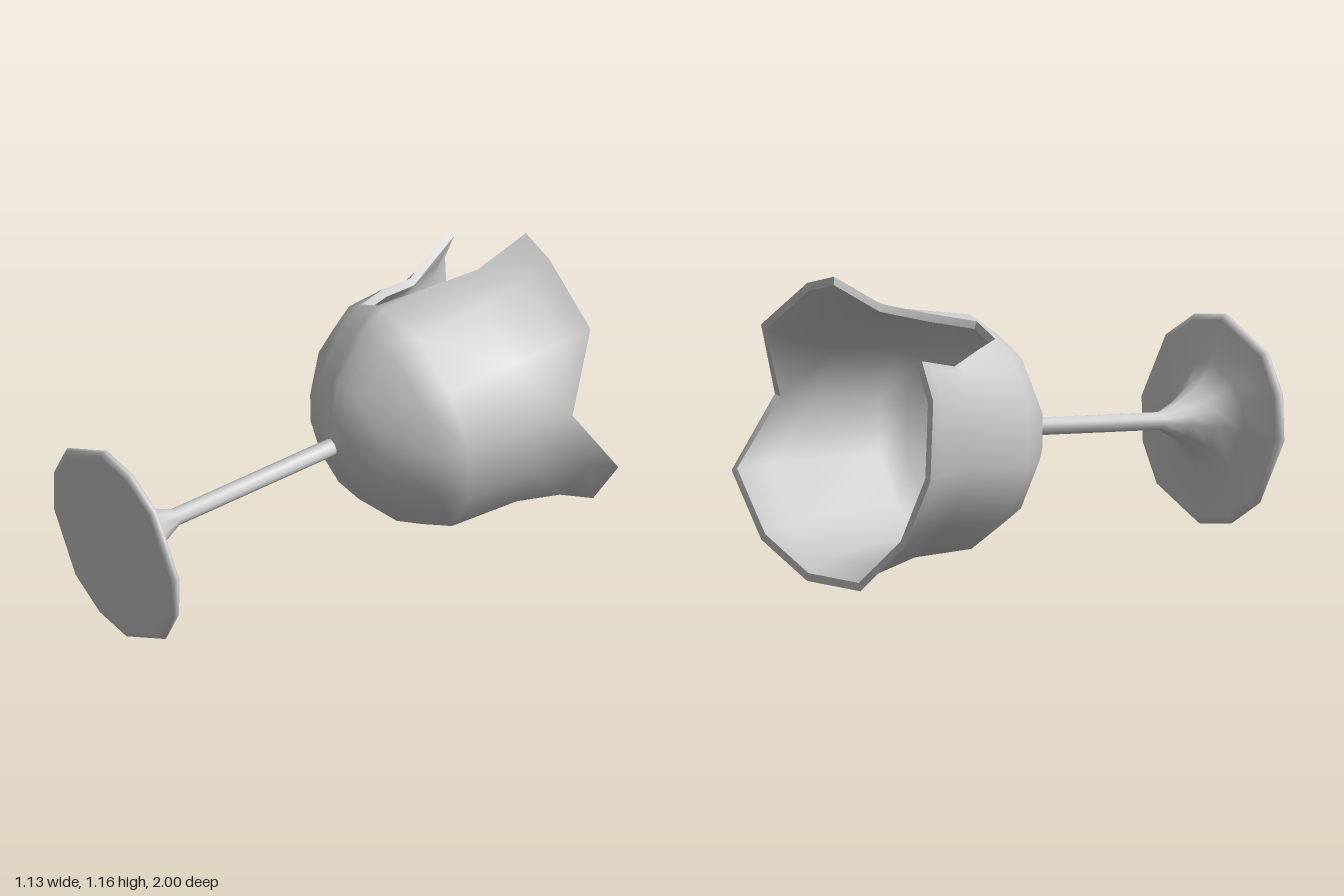
import * as THREE from 'three';
import { mergeVertices, toCreasedNormals } from 'three/addons/utils/BufferGeometryUtils.js';

const RIM = 1.918;

// Radius of a [height, radius] profile at a given height
function radiusAt(profile, s) {
  for (let i = 1; i < profile.length; i++) {
    const [s0, r0] = profile[i - 1], [s1, r1] = profile[i];
    if (s <= s1) return r0 + (r1 - r0) * (s - s0) / (s1 - s0);
  }
  return profile[profile.length - 1][1];
}

function polar(deg, r, s) {
  const a = THREE.MathUtils.degToRad(deg);
  return [r * Math.cos(a), s, r * Math.sin(a)];
}

// Skin a list of closed rings (each a loop of points)
function skin(rings, flip = false, crease = 0) {
  const n = rings[0].length, index = [];
  for (let i = 0; i < rings.length - 1; i++) {
    for (let j = 0; j < n; j++) {
      const k = (j + 1) % n;
      const a = i * n + j, b = i * n + k, c = a + n, d = b + n;
      if (flip) index.push(a, b, c, b, d, c);
      else index.push(a, c, b, b, c, d);
    }
  }
  const g = new THREE.BufferGeometry();
  g.setAttribute('position', new THREE.Float32BufferAttribute(rings.flat(2), 3));
  g.setIndex(index);
  const merged = mergeVertices(g, 1e-5);
  // drop triangles collapsed by merging
  const src = merged.index.array, kept = [];
  for (let i = 0; i < src.length; i += 3) {
    const [a, b, c] = [src[i], src[i + 1], src[i + 2]];
    if (a !== b && b !== c && c !== a) kept.push(a, b, c);
  }
  merged.setIndex(kept);
  if (crease) return toCreasedNormals(merged, crease);
  merged.computeVertexNormals();
  return merged;
}

// Twelve-sided bowl section that becomes slightly squarer toward the rim;
// flare pushes a column outward there
function bowlPoint(profile, deg, s, flare) {
  const a = Math.abs(((deg - 70 + 45 + 720) % 90) - 45);
  const rad = THREE.MathUtils.degToRad;
  const t = THREE.MathUtils.clamp((s - 1.33) / (RIM - 1.33), 0, 1);
  const chord = Math.cos(rad(15)) / Math.cos(rad((a % 30) - 15));
  const f = chord * (1 - 0.045 * Math.min(1, a / 30) * t) * (1 + flare * t);
  return polar(deg, radiusAt(profile, s) * f, s);
}

export function createModel() {
  const goblet = new THREE.Group();
  goblet.name = 'brokenGoblet';
  const material = new THREE.MeshStandardMaterial({ color: 0xcccccc, side: THREE.DoubleSide });
  const add = (name, geometry) => {
    const mesh = new THREE.Mesh(geometry, material);
    mesh.name = name;
    goblet.add(mesh);
  };

  // Foot and stem: unevenly spaced twelve-sided rings with a rounded foot edge
  const footAngles = [];
  for (let k = 0; k < 4; k++) footAngles.push(45 + 90 * k, 70 + 90 * k, 95 + 90 * k);
  const footProfile = [
    [0, 0], [0, 0.37], [0.001, 0.385], [0.009, 0.4], [0.02, 0.405], [0.033, 0.399], [0.04, 0.38],
    [0.06, 0.215], [0.113, 0.132], [0.195, 0.075], [0.29, 0.034], [1.02, 0.034],
  ];
  add('footAndStem', skin(footProfile.map(([s, r]) => footAngles.map((d) => polar(d, r, s)))));

  // Bowl columns: [angle, height where the wall ends, flare]; low ones form the breaks
  const columns = [
    [-20, RIM], [9, 1.755, 0.1], [39, RIM, 0.01], [70, RIM, -0.02], [85, RIM, 0.055],
    [89.5, 1.72, 0.03], [98, 1.53], [106, 1.345], [122, 1.345], [131, 1.49], [140, 1.65],
    [144, RIM, 0.035],
    [160, RIM, -0.02], [190, RIM], [220, RIM], [250, RIM], [280, RIM], [310, RIM, 0.01],
  ];
  const outer = [[1.01, 0.034], [1.035, 0.1], [1.085, 0.25], [1.23, 0.403], [1.33, 0.457],
    [1.62, 0.48], [1.82, 0.537], [RIM, 0.6]];
  const inner = [[1.045, 0], [1.11, 0.22], [1.24, 0.37], [1.33, 0.424],
    [1.62, 0.448], [1.82, 0.505], [RIM, 0.568]];
  const wall = (profile) => profile.map(([s]) =>
    columns.map(([deg, top, flare = 0]) => bowlPoint(profile, deg, Math.min(s, top), flare)));
  const outerRings = wall(outer), innerRings = wall(inner);
  add('bowlOutside', skin(outerRings));
  add('bowlInside', skin(innerRings, true));

  // Rim and broken edges join the two walls
  add('bowlEdge', skin([outerRings.at(-1), innerRings.at(-1)], false, 0.7));

  // Lay the goblet on its side, resting on foot and rim
  goblet.rotation.set(-Math.PI / 2 + 0.083, 0, -0.037);
  goblet.position.set(-0.067, 0.409, 0.965);
  const model = new THREE.Group();
  model.name = 'model';
  model.add(goblet);
  return model;
}
